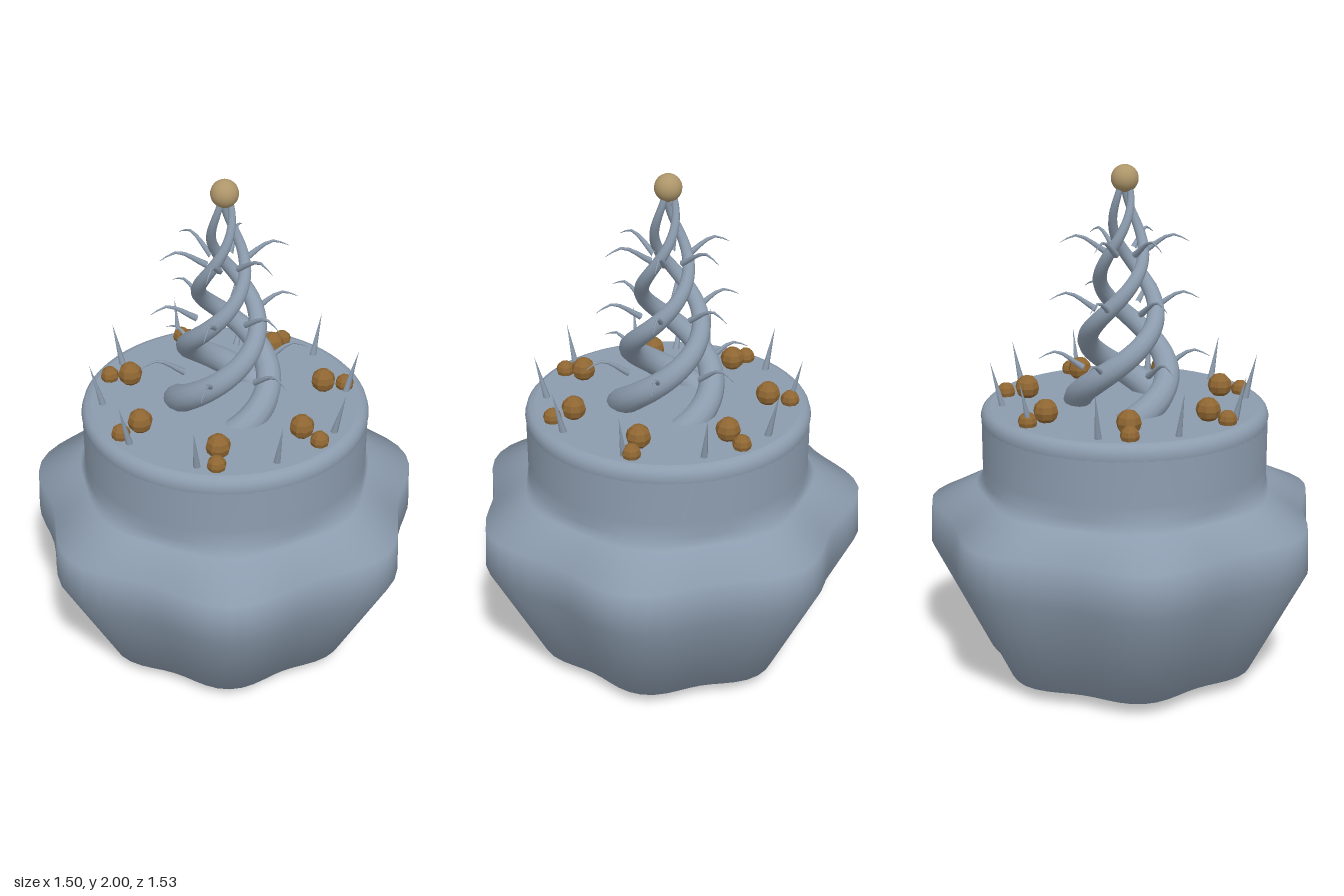
import * as THREE from 'three';

const slate = new THREE.MeshStandardMaterial({ color: 0x8c9cae });
slate.name = 'slate blue';
const brown = new THREE.MeshStandardMaterial({ color: 0x8f6632, flatShading: true });
brown.name = 'nut brown';
const tan = new THREE.MeshStandardMaterial({ color: 0xae966a });
tan.name = 'pearl tan';

const TAU = Math.PI * 2;
const LID_Y = 1.08;

function add(parent, name, geometry, material) {
  const mesh = new THREE.Mesh(geometry, material);
  mesh.name = name;
  parent.add(mesh);
  return mesh;
}

// Tube whose radius shrinks evenly from r0 to r1
function taperedTube(curve, segments, r0, r1, sides) {
  const geo = new THREE.TubeGeometry(curve, segments, 1, sides, false);
  const pos = geo.attributes.position;
  const normal = new THREE.Vector3();
  for (let i = 0; i <= segments; i++) {
    const centre = curve.getPointAt(i / segments);
    const r = r0 + (r1 - r0) * i / segments;
    for (let j = 0; j <= sides; j++) {
      const k = i * (sides + 1) + j;
      normal.fromBufferAttribute(geo.attributes.normal, k);
      pos.setXYZ(k, centre.x + normal.x * r, centre.y + normal.y * r, centre.z + normal.z * r);
    }
  }
  return geo;
}

// Seven-lobed bowl that turns into a round neck: rows of [height, radius, lobe depth]
function bowlGeometry() {
  const rows = [
    [0, 0, 0], [0.06, 0.525, 0.025], [0.5, 0.741, 0.036], [0.67, 0.733, 0.036],
    [0.75, 0.575, 0.012], [0.79, 0.556, 0.002], [0.85, 0.555, 0], [1.03, 0.555, 0],
  ];
  const n = 70, positions = [], index = [];
  rows.forEach(([y, radius, lobe], j) => {
    for (let i = 0; i < n; i++) {
      const a = TAU * i / n;
      const r = radius + lobe * Math.cos(7 * a);
      positions.push(r * Math.cos(a), y, r * Math.sin(a));
      if (j === rows.length - 1) continue;
      const p = j * n + i, q = j * n + (i + 1) % n;
      index.push(p, p + n, q, q, p + n, q + n);
    }
  });
  const geo = new THREE.BufferGeometry();
  geo.setAttribute('position', new THREE.Float32BufferAttribute(positions, 3));
  geo.setIndex(index);
  geo.computeVertexNormals();
  return geo;
}

// Point on the tendril spiral, t from base to tip
function spiral(t, phase) {
  const a = phase + t * 437 * Math.PI / 180;
  const r = 0.19 - 0.17 * Math.pow(t, 1.2);
  return new THREE.Vector3(r * Math.sin(a), 1.02 + 0.9 * t, r * Math.cos(a));
}

export function createModel() {
  const model = new THREE.Group();
  model.name = 'spikedPot';
  model.position.x = -0.025;

  add(model, 'bowl', bowlGeometry(), slate);

  // Flat lid with a softened rim
  const rim = [[0.555, 1.02], [0.558, 1.04], [0.552, 1.06], [0.54, 1.073], [0.52, LID_Y]];
  add(model, 'lidRim', new THREE.LatheGeometry(rim.map(p => new THREE.Vector2(...p)), 64), slate);
  const top = add(model, 'lidTop', new THREE.CircleGeometry(0.52, 64), slate);
  top.rotation.x = -Math.PI / 2;
  top.position.y = LID_Y;

  // Three twisting tendrils
  for (let k = 0; k < 3; k++) {
    const points = [];
    for (let i = 0; i <= 24; i++) points.push(spiral(i / 24, (350 + 120 * k) * Math.PI / 180));
    add(model, 'tendril', taperedTube(new THREE.CatmullRomCurve3(points), 64, 0.06, 0.012, 12), slate);
  }

  // Arched thorns: rows of [height, inner radius, tip radius], six round each level
  for (const [y, inner, tip] of [[1.24, 0.16, 0.33], [1.47, 0.11, 0.285], [1.69, 0.07, 0.245]]) {
    for (let k = 0; k < 6; k++) {
      const mid = tip - 0.065;
      const curve = new THREE.CatmullRomCurve3([
        new THREE.Vector3(inner, y - 0.02, 0), new THREE.Vector3(mid, y + 0.045, 0),
        new THREE.Vector3(tip, y + 0.018, 0),
      ]);
      add(model, 'thorn', taperedTube(curve, 6, 0.013, 0.0008, 6), slate).rotation.y = k * TAU / 6;
    }
  }

  // Ball held by the tendril tips
  add(model, 'ball', new THREE.SphereGeometry(0.052, 24, 16), tan).position.y = 1.948;

  // Seven pairs of nuts, a large one inside and a small one outside
  for (let k = 0; k < 7; k++) {
    const a = 5.4 * Math.PI / 180 + k * TAU / 7;
    for (const [name, size, r, y] of [['largeNut', 0.048, 0.388, 1.118], ['smallNut', 0.037, 0.474, 1.095]]) {
      const nut = add(model, name, new THREE.SphereGeometry(size, 8, 6), brown);
      nut.position.set(r * Math.cos(a), y, r * Math.sin(a));
    }
  }

  // Ten spikes round the lid, leaning outward
  for (let k = 0; k < 10; k++) {
    const a = 9 * Math.PI / 180 + k * TAU / 10;
    const holder = new THREE.Group();
    holder.name = 'spike';
    holder.rotation.y = -a;
    const cone = add(holder, 'spikeCone', new THREE.ConeGeometry(0.015, 0.19, 6), slate);
    cone.position.set(0.495, 1.162, 0);
    cone.rotation.z = -0.24;
    model.add(holder);
  }
  return model;
}
